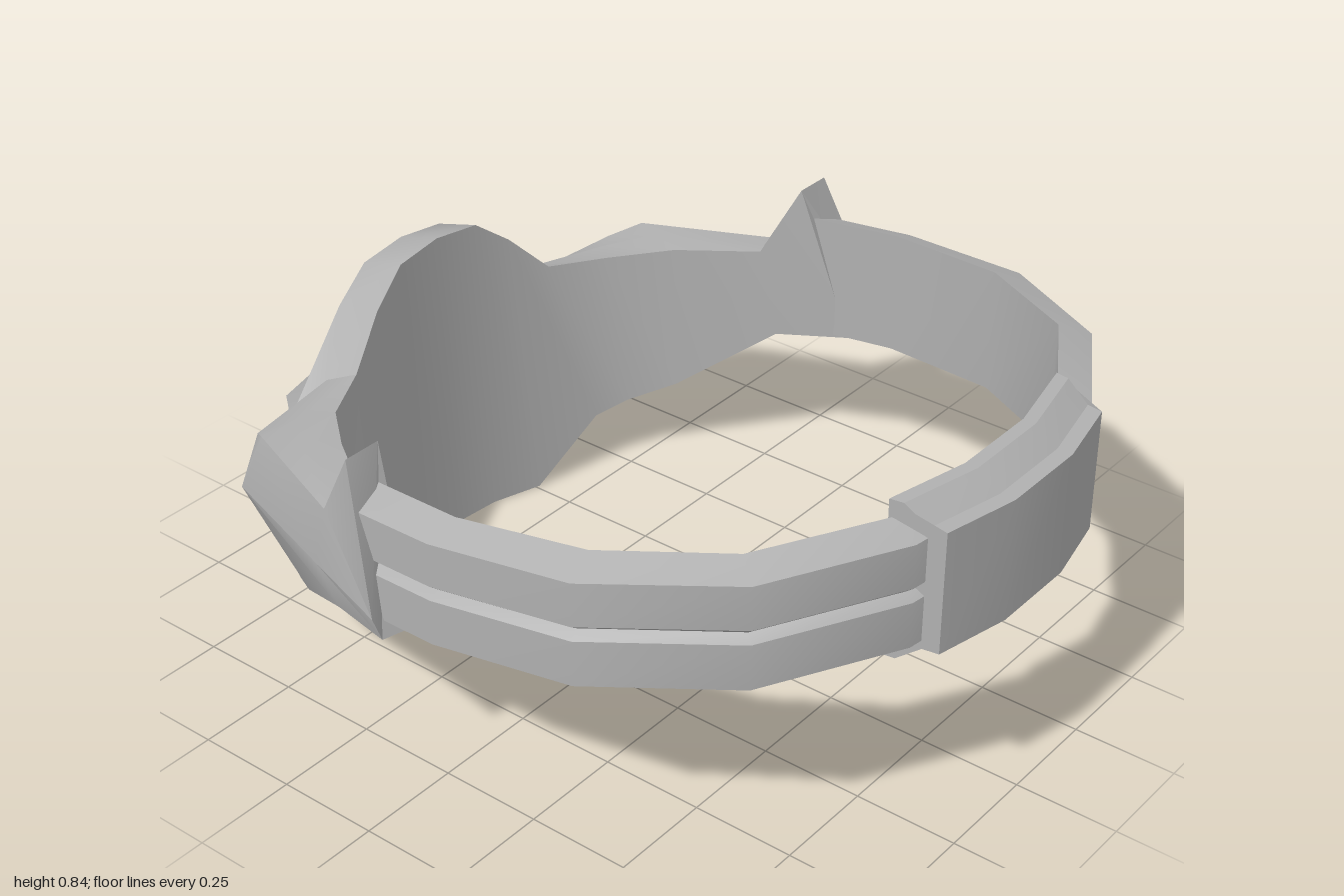
import * as THREE from 'three';
import { toCreasedNormals } from 'three/addons/utils/BufferGeometryUtils.js';

// Skin a list of closed cross-sections (arrays of [x, y, z]) and cap both ends.
function loft(sections) {
  const n = sections[0].length, last = sections.length - 1, index = [];
  const pos = sections.flat(2);
  for (let s = 0; s < last; s++) {
    for (let i = 0; i < n; i++) {
      const a = s * n + i, b = s * n + (i + 1) % n;
      index.push(a, b, a + n, b, b + n, a + n);
    }
  }
  for (let i = 1; i < n - 1; i++) {
    index.push(0, i + 1, i);
    index.push(last * n, last * n + i, last * n + i + 1);
  }
  // Turn all faces outward if the skin came out inside out.
  const v = i => new THREE.Vector3(pos[i * 3], pos[i * 3 + 1], pos[i * 3 + 2]);
  let volume = 0;
  for (let i = 0; i < index.length; i += 3) {
    volume += v(index[i]).dot(v(index[i + 1]).cross(v(index[i + 2])));
  }
  if (volume < 0) index.reverse();
  const geo = new THREE.BufferGeometry();
  geo.setAttribute('position', new THREE.Float32BufferAttribute(pos, 3));
  geo.setIndex(index);
  return toCreasedNormals(geo, 0.55);
}

// Mirror a half list of sections (ordered from the middle outward) across x = 0.
function mirrored(half) {
  const other = half.map(sec => sec.map(([x, y, z]) => [-x, y, z])).reverse();
  if (half[0][0][0] === 0) other.pop();
  return [...other, ...half];
}

// Sweep a [depth, y] profile along paired inner/outer [x, z] points.
function band(path, profile, tilt) {
  return mirrored(path.map(([ix, iz, ox, oz]) => profile.map(([d, y]) => {
    const z = iz + (oz - iz) * d;
    return [ix + (ox - ix) * d, y + tilt * (z - 0.92), z];
  })));
}

export function createModel() {
  const group = new THREE.Group();
  const grey = new THREE.MeshStandardMaterial({ color: 0xb0b0b0 });
  grey.name = 'plain grey';
  const add = (name, sections) => {
    const mesh = new THREE.Mesh(loft(sections), grey);
    mesh.name = name;
    group.add(mesh);
  };

  // Double-ridged strap: inner x, z and outer x, z
  add('strap', band([
    [0.11, 0.885, 0.11, 0.945],
    [0.31, 0.84, 0.335, 0.912],
    [0.585, 0.675, 0.635, 0.735],
    [0.74, 0.41, 0.82, 0.43],
    [0.79, 0.1, 0.865, 0.09],
    [0.772, -0.14, 0.85, -0.14],
  ], [
    [0, 0.805], [1, 0.775], [1, 0.67], [0.7, 0.652],
    [1, 0.635], [1, 0.525], [0, 0.492],
  ], 0.08));

  // Curved clasp plate with a flared rim
  add('clasp', band([
    [0.11, 0.875, 0.11, 0.997],
    [0.315, 0.83, 0.295, 0.957],
  ], [
    [0, 0.84], [0.25, 0.84], [0.7, 0.8], [1, 0.8],
    [1, 0.505], [0.7, 0.505], [0.25, 0.46], [0, 0.46],
  ], 0));

  // Mask: inner top, crest, shelf, ridge, outer bottom, inner bottom
  add('mask', mirrored([
    [[0, 0.8, -0.68], [0, 0.765, -0.8], [0, 0.55, -0.85],
      [0, 0.37, -1], [0, 0, -0.8], [0, 0, -0.66]],
    [[0.13, 0.785, -0.675], [0.13, 0.75, -0.797], [0.13, 0.54, -0.845],
      [0.13, 0.372, -0.993], [0.13, 0, -0.79], [0.13, 0, -0.65]],
    [[0.23, 0.71, -0.66], [0.23, 0.68, -0.787], [0.26, 0.515, -0.825],
      [0.26, 0.38, -0.967], [0.26, 0, -0.77], [0.26, 0, -0.61]],
    [[0.34, 0.6, -0.63], [0.36, 0.565, -0.71], [0.43, 0.515, -0.745],
      [0.435, 0.43, -0.757], [0.43, 0.155, -0.64], [0.42, 0.16, -0.55]],
    [[0.48, 0.59, -0.56], [0.54, 0.58, -0.62], [0.62, 0.56, -0.67],
      [0.64, 0.45, -0.7], [0.61, 0.195, -0.58], [0.5, 0.185, -0.51]],
    [[0.59, 0.61, -0.43], [0.63, 0.61, -0.52], [0.67, 0.6, -0.6],
      [0.695, 0.46, -0.655], [0.66, 0.225, -0.5], [0.59, 0.225, -0.42]],
    [[0.71, 0.615, -0.25], [0.75, 0.615, -0.265], [0.8, 0.61, -0.275],
      [0.825, 0.48, -0.29], [0.82, 0.385, -0.23], [0.73, 0.385, -0.21]],
    // pointed temple fin
    [[0.745, 0.8, -0.155], [0.79, 0.8, -0.155], [0.84, 0.8, -0.155],
      [0.907, 0.485, -0.04], [0.872, 0.41, -0.05], [0.79, 0.41, -0.03]],
  ]));

  return group;
}
